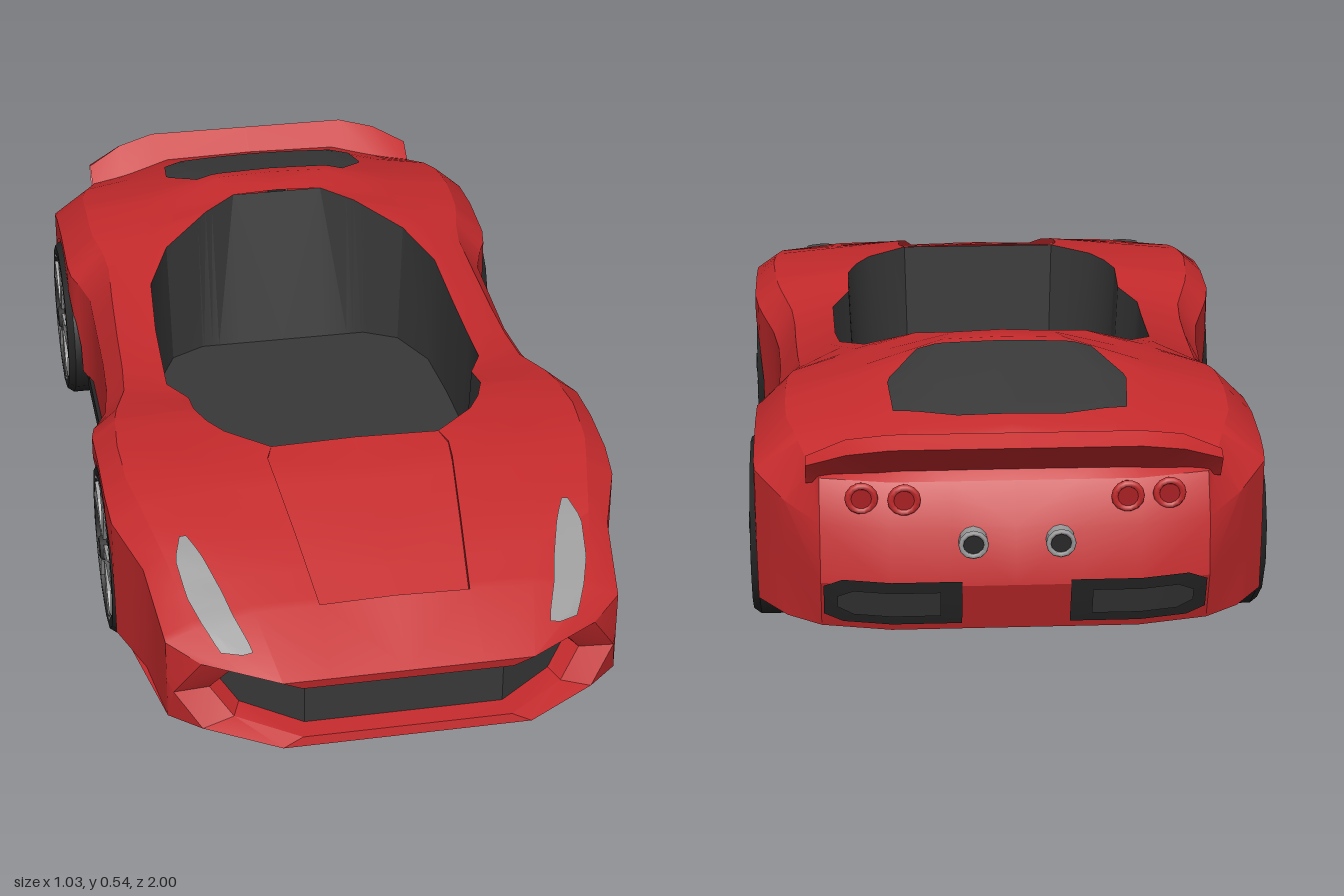
import * as THREE from 'three';
import { toCreasedNormals } from 'three/addons/utils/BufferGeometryUtils.js';

const mat = (name, color, side = THREE.DoubleSide) => {
  const m = new THREE.MeshStandardMaterial({ color, side });
  m.name = name;
  return m;
};

// Value of a piecewise linear curve [[t, v], ...] listed with t falling
function at(curve, t) {
  if (t >= curve[0][0]) return curve[0][1];
  for (let i = 1; i < curve.length; i++) {
    const [t0, v0] = curve[i - 1], [t1, v1] = curve[i];
    if (t >= t1) return v0 + (v1 - v0) * (t0 - t) / (t0 - t1);
  }
  return curve[curve.length - 1][1];
}

// Skin rings of [x, y, z] points on the left side and mirror it to the right
function loft(rings, skip = () => false, crease = 0.45) {
  const pos = [];
  const tri = (a, b, c) => {
    pos.push(...a, ...b, ...c);
    for (const p of [a, c, b]) pos.push(-p[0], p[1], p[2]);
  };
  for (let i = 0; i + 1 < rings.length; i++)
    for (let j = 0; j + 1 < rings[i].length; j++) {
      if (skip(i, j)) continue;
      const a = rings[i][j], b = rings[i + 1][j], c = rings[i][j + 1], d = rings[i + 1][j + 1];
      tri(a, b, c);
      tri(b, d, c);
    }
  const g = new THREE.BufferGeometry();
  g.setAttribute('position', new THREE.Float32BufferAttribute(pos, 3));
  return toCreasedNormals(g, crease);
}

// Body curves along z, front to back
const width = [[.86, .44], [.7, .46], [.57, .505], [.5, .51], [.25, .51], [.1, .46], [-.05, .447], [-.38, .447], [-.45, .485], [-.78, .485], [-.87, .425]];
const beltY = [[.86, .27], [.7, .33], [.58, .355], [.5, .375], [.385, .385], [.25, .375], [.15, .34], [-.1, .33], [-.38, .35], [-.48, .38], [-.6, .39], [-.72, .38], [-.87, .33]];
const crestX = [[.86, .385], [.7, .42], [.5, .465], [.385, .47], [.25, .46], [.1, .42], [-.2, .41], [-.38, .40], [-.5, .425], [-.7, .425], [-.87, .375]];
const crestY = [[.86, .295], [.7, .36], [.55, .40], [.4, .42], [.25, .412], [.1, .385], [-.1, .39], [-.3, .41], [-.45, .44], [-.6, .45], [-.75, .43], [-.87, .39]];
const deckX = [[.86, .27], [.7, .32], [.5, .33], [.3, .35], [.1, .37], [-.2, .355], [-.35, .32], [-.48, .26], [-.6, .29], [-.87, .29]];
const deckY = [[.86, .318], [.7, .372], [.5, .42], [.3, .425], [.1, .39], [-.1, .405], [-.25, .43], [-.36, .46], [-.48, .488], [-.6, .48], [-.75, .45], [-.87, .41]];
const rimX = [[.86, .145], [.5, .185], [.46, .17], [.37, .27], [.28, .30], [.2, .30], [.12, .335], [-.1, .33], [-.25, .32], [-.36, .27], [-.43, .17], [-.475, .10], [-.55, .12], [-.65, .17], [-.87, .2]];
const rimY = [[.86, .32], [.7, .376], [.55, .42], [.46, .43], [.37, .43], [.28, .425], [.2, .405], [.1, .392], [-.1, .405], [-.25, .435], [-.36, .465], [-.43, .51], [-.475, .525], [-.55, .535], [-.65, .505], [-.8, .46], [-.87, .435]];
const hoodDrop = [[.86, 0], [.845, .018], [.55, .012], [.46, 0]];
const wheelZ = [.385, -.6], axleY = .18, archR = .185;
const cockpit = [.46, -.475];

// Lower body edge with round wheel arches
function edgeY(z) {
  for (const c of wheelZ) {
    const d = Math.abs(z - c);
    if (d < archR) return axleY + Math.sqrt(archR * archR - d * d);
  }
  return z < wheelZ[0] && z > wheelZ[1] ? .135 : .1;
}
const noseZ = x => (x < .24 ? 1 : 1 - (x - .24) * .62);
const tailZ = (x, y) => -at([[.385, .93], [.31, .97], [.2, .985], [.1, .95]], y) + Math.max(0, x - .23) * .23;

function bodyRing(z) {
  const w = at(width, z), y0 = edgeY(z), y2 = at(beltY, z), rx = at(rimX, z), ry = at(rimY, z), drop = at(hoodDrop, z);
  return [[w, y0, z], [w, (y0 + y2) / 2, z], [w, y2, z], [at(crestX, z), at(crestY, z), z], [at(deckX, z), at(deckY, z), z],
    [rx, ry, z], [rx, ry - drop, z], [0, ry - drop + .004, z]];
}

export function createModel() {
  const car = new THREE.Group();
  car.name = 'sportsCar';
  const red = mat('red paint', 0xc42a2c), dark = mat('dark trim', 0x383838), black = mat('black rubber', 0x262626),
    silver = mat('silver', 0x9c9c9c), lamp = mat('tail lamp red', 0xa81e22);
  const add = (name, geo, m, parent = car) => {
    const mesh = new THREE.Mesh(geo, m);
    mesh.name = name;
    parent.add(mesh);
    return mesh;
  };

  // Body shell
  const stations = [.86, .845, .78, .7, .62, .46, .28, .2, .12, .02, -.1, -.25, -.36, -.43, -.475, -.55, -.65, -.82, -.87];
  for (const c of wheelZ) for (const d of [.187, .184, .16, .11, .05]) stations.push(c + d, c - d);
  stations.push(...wheelZ);
  stations.sort((a, b) => b - a);
  const nose = [[.38, .1], [.43, .17], [.38, .25], [.31, .25], [.24, .25], [.145, .25], [.145, .25], [0, .25]].map(([x, y]) => [x, y, noseZ(x)]);
  const tail = [[.36, .1], [.36, .2], [.36, .31], [.36, .385], [.23, .385], [.12, .385], [.12, .385], [0, .385]].map(([x, y]) => [x, y, tailZ(x, y)]);
  const rings = [nose, ...stations.map(bodyRing), tail];
  const open = (i, j) => j >= 5 && i > 0 && i < stations.length && stations[i - 1] <= cockpit[0] && stations[i] >= cockpit[1];
  const body = add('bodyShell', loft(rings, open), red);

  // Cockpit tub
  const inside = stations.filter(z => z <= cockpit[0] && z >= cockpit[1]);
  const tub = inside.map(z => {
    const x = at(rimX, z), fz = THREE.MathUtils.clamp(z, -.4, .45);
    return [[x, at(rimY, z), z], [x * .97, .18, fz], [0, .18, fz]];
  });
  const cap = z => [0, 1, 2].map(k => [k < 2 ? at(rimX, z) : 0, at(rimY, z), z]);
  add('cockpitTub', loft([cap(cockpit[0]), ...tub, cap(cockpit[1])]), dark);

  // Nose mouth and grille
  const hex = [[0, .1], [.24, .1], [.38, .1], [.43, .17], [.38, .25], [.24, .25], [0, .25]];
  const mouthRing = (kx, ky, dz) => hex.map(([x, y]) => [x * kx, .174 + (y - .174) * ky, noseZ(x) - dz]);
  const outer = mouthRing(1, 1, 0), lip = mouthRing(.84, .75, .004), recess = mouthRing(.8, .7, .045);
  add('mouthFrame', loft([recess, lip, outer]), red);
  add('grille', loft([0, 1, 2, 3].map(k => [recess[k], recess[6 - k]])), dark);

  // Rear fascia
  add('rearFascia', loft([.36, .23, .12, 0].map(x => [.1, .2, .31, .385].map(y => [x, y, tailZ(x, y)]))), red);
  const vent = (xs, y0, y1, off) => loft(xs.map((x, i) => [i ? y0 : y0 + .015, (y0 + y1) / 2, i ? y1 : y1 - .015]
    .map(y => [x, y, tailZ(x, y) - off])));
  add('rearVentFrames', vent([.355, .32, .23, .1], .115, .21, .004), black);
  add('rearVentGrilles', vent([.33, .30, .23, .14], .135, .19, .008), dark);

  // Underside
  const plate = list => loft(list.map(([z, x]) => [[0, .1, z], [x, .1, z]]));
  add('noseUnderside', plate([[1, .24], [.913, .38], [.86, .44], [.62, .485]]), red);
  add('floorPan', plate([[.62, .43], [.57, .46], [.2, .46], [-.42, .45], [-.78, .45], [-.86, .40]]), black);
  add('tailUnderside', plate([[-.86, .425], [-.92, .36], [-.95, .23]]), red);

  // Panels laid on the body: rows of [z, inner x, outer x]
  const ray = new THREE.Raycaster(), down = new THREE.Vector3(0, -1, 0);
  car.updateMatrixWorld(true);
  const onBody = (x, z) => {
    ray.set(new THREE.Vector3(Math.max(x, .001), 2, z), down);
    const hit = ray.intersectObject(body)[0];
    return [x, (hit ? hit.point.y : .3) + .005, z];
  };
  const panel = rows => {
    const grid = [], n = 14, inner = rows.map(r => [r[0], r[1]]), outerX = rows.map(r => [r[0], r[2]]);
    for (let i = 0; i <= n; i++) {
      const z = THREE.MathUtils.lerp(rows[0][0], rows[rows.length - 1][0], i / n);
      grid.push(Array.from({ length: 11 }, (_, j) => onBody(THREE.MathUtils.lerp(at(outerX, z), at(inner, z), j / 10), z)));
    }
    return loft(grid);
  };
  add('headlights', panel([[.935, .285, .305], [.915, .29, .345], [.86, .31, .37], [.8, .325, .39], [.72, .35, .40], [.67, .372, .385]]), silver);
  add('rearWindow', panel([[-.57, 0, .17], [-.66, 0, .23], [-.775, 0, .22], [-.80, 0, .10]]), dark);

  // Spoiler
  const wing = [[-.86, .425], [-.93, .478], [-.965, .46], [-.905, .392], [-.86, .425]];
  const tip = [[-.84, .39], [-.89, .425], [-.915, .415], [-.885, .37], [-.84, .39]];
  add('spoiler', loft([0, .23, .31, .385].map((x, i) => (i < 3 ? wing : tip)
    .map(([z, y]) => [x, y - (i === 2 ? .015 : 0), z + (i === 2 ? .02 : 0)]))), red);

  for (const s of [1, -1]) {
    // Side skirts
    add('sideSkirt', new THREE.BoxGeometry(.05, .037, .62), black).position.set(s * .43, .1185, -.11);

    // Tail lamps and exhausts
    for (const x of [.205, .283]) {
      const z = tailZ(x, .36);
      add('tailLampRing', new THREE.TorusGeometry(.024, .007, 6, 14), red).position.set(s * x, .36, z - .012);
      const disc = add('tailLamp', new THREE.CylinderGeometry(.022, .022, .03, 14), lamp);
      disc.rotation.x = Math.PI / 2;
      disc.position.set(s * x, .36, z);
    }
    const pipe = add('exhaustPipe', new THREE.CylinderGeometry(.027, .027, .04, 12, 1, true), silver);
    const bore = add('exhaustBore', new THREE.CylinderGeometry(.022, .022, .03, 12), black);
    const rim = add('exhaustRim', new THREE.TorusGeometry(.023, .005, 5, 12), silver);
    pipe.rotation.x = bore.rotation.x = Math.PI / 2;
    pipe.position.set(s * .08, .285, -.975);
    bore.position.set(s * .08, .285, -.975);
    rim.position.set(s * .08, .285, -.994);

    // Wheels, built facing +z and turned outward
    wheelZ.forEach((z, k) => {
      const wheel = new THREE.Group();
      wheel.name = k ? 'rearWheel' : 'frontWheel';
      const profile = [[0, -.165], [.14, -.165], [.17, -.15], [.179, -.13], [.179, -.015], [.168, 0], [.15, 0], [.145, -.018], [0, -.012]];
      const tyre = add('tyre', toCreasedNormals(new THREE.LatheGeometry(profile.map(p => new THREE.Vector2(...p)), 14), .5), black, wheel);
      tyre.rotation.x = Math.PI / 2;
      add('wheelDish', new THREE.CircleGeometry(.144, 28), dark, wheel).position.z = -.009;
      add('rimEdge', new THREE.RingGeometry(.142, .149, 28), silver, wheel).position.z = .001;
      const blade = new THREE.Shape([[-.012, .028], [.014, .028], [.045, .09], [.05, .134], [-.008, .143], [.004, .09]].map(p => new THREE.Vector2(...p)));
      const spokeGeo = new THREE.ExtrudeGeometry(blade, { depth: .008, bevelEnabled: false });
      for (let i = 0; i < 5; i++) {
        const spoke = add('spoke', spokeGeo, silver, wheel);
        spoke.rotation.z = i * Math.PI * 2 / 5;
        spoke.position.z = -.008;
      }
      const hub = add('hub', new THREE.CylinderGeometry(.022, .03, .014, 10), dark, wheel);
      hub.rotation.x = Math.PI / 2;
      wheel.position.set(s * (k ? .495 : .508), axleY, z);
      wheel.rotation.y = s * Math.PI / 2;
      car.add(wheel);
    });
  }
  return car;
}
